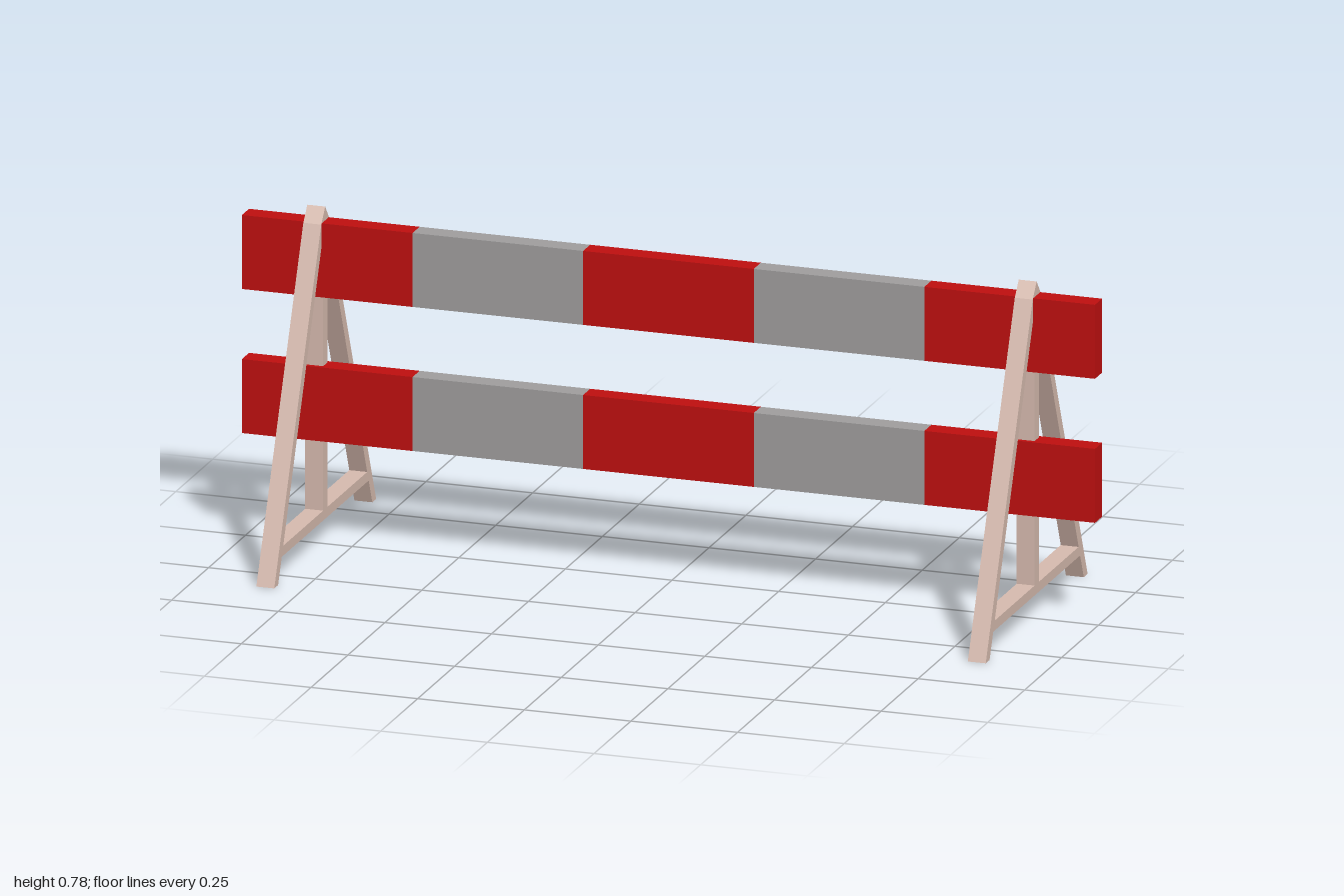
import * as THREE from 'three';

export function createModel() {
  const model = new THREE.Group();
  model.name = 'barrier';

  const material = (name, color) => {
    const m = new THREE.MeshStandardMaterial({ color });
    m.name = name;
    return m;
  };
  const red = material('red', 0xbe0f0f);
  const grey = material('grey', 0x9f9d9d);
  const wood = material('pale wood', 0xd6baae);

  const points = (list) => list.map(([x, y]) => new THREE.Vector2(x, y));

  // A-frame side profile: outer outline, with an opening either side of the post
  const profile = new THREE.Shape(points([
    [0.345, 0], [0.027, 0.75], [0, 0.784], [-0.027, 0.75], [-0.345, 0],
    [-0.319, 0], [-0.294, 0.058], [0.294, 0.058], [0.319, 0],
  ]));
  for (const s of [1, -1]) {
    profile.holes.push(new THREE.Path(points([
      [s * 0.284, 0.081], [s * 0.014, 0.081], [s * 0.014, 0.724],
    ])));
  }
  const frameWidth = 0.042;
  const frameGeometry = new THREE.ExtrudeGeometry(profile, { depth: frameWidth, bevelEnabled: false });
  frameGeometry.translate(0, 0, -frameWidth / 2);
  frameGeometry.rotateY(-Math.PI / 2);

  for (const [name, x] of [['leftFrame', 0.834], ['rightFrame', -0.834]]) {
    const frame = new THREE.Mesh(frameGeometry, wood);
    frame.name = name;
    frame.position.x = x;
    model.add(frame);
  }

  // Two boards, each made of five alternating blocks
  const blockGeometry = new THREE.BoxGeometry(0.4, 0.172, 0.048);
  for (const [name, y] of [['upperBoard', 0.666], ['lowerBoard', 0.331]]) {
    const board = new THREE.Group();
    board.name = name;
    board.position.y = y;
    for (let i = 0; i < 5; i++) {
      const block = new THREE.Mesh(blockGeometry, i % 2 ? grey : red);
      block.name = i % 2 ? 'greyBlock' : 'redBlock';
      block.position.x = (i - 2) * 0.4;
      board.add(block);
    }
    model.add(board);
  }

  return model;
}
